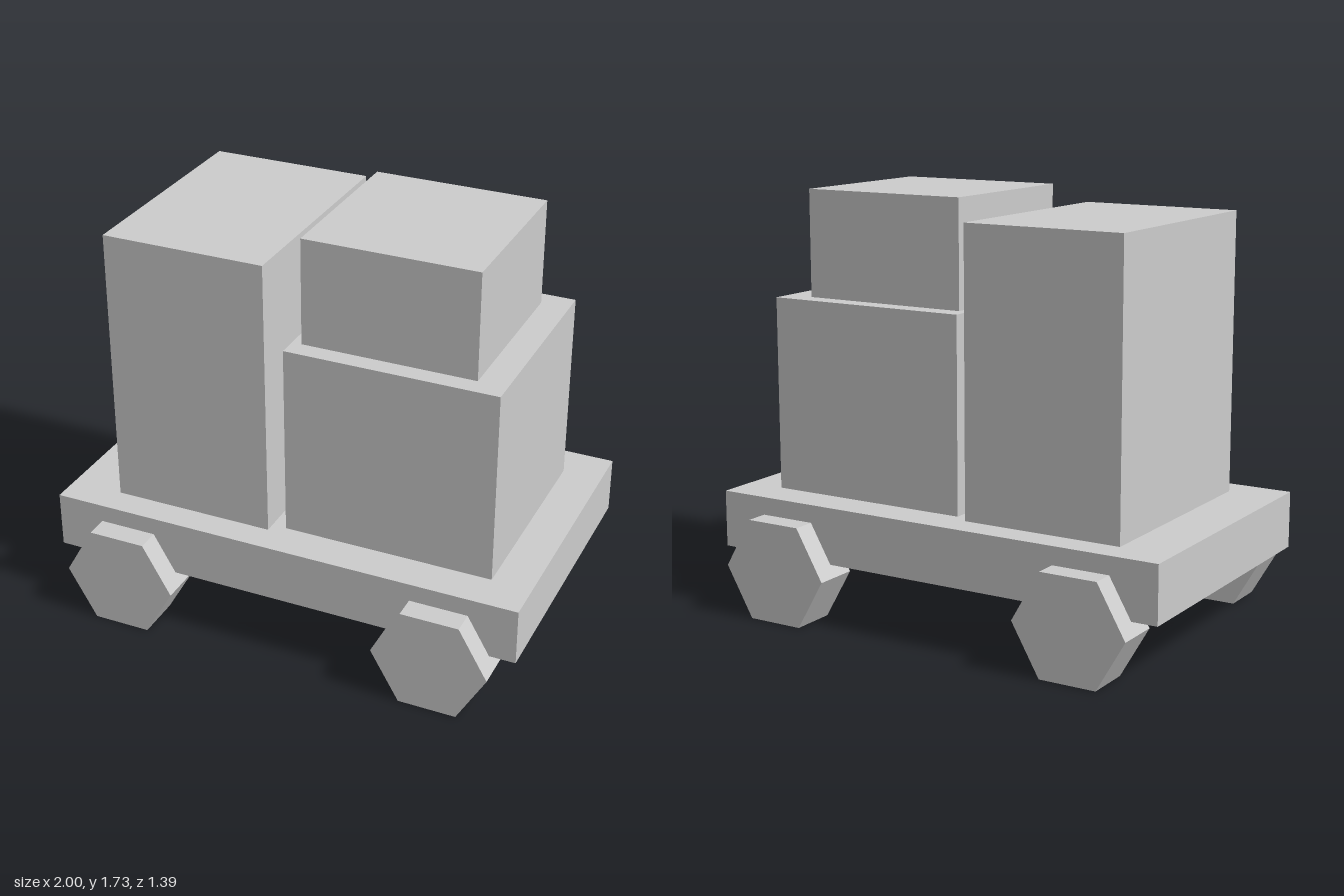
import * as THREE from 'three';

export function createModel() {
  const group = new THREE.Group();
  const grey = new THREE.MeshStandardMaterial({ color: 0xcccccc, flatShading: true });
  grey.name = 'light grey';

  // Box given by its x and y ranges and its depth, centred on z = 0
  function addBox(name, x0, x1, y0, y1, depth) {
    const mesh = new THREE.Mesh(new THREE.BoxGeometry(x1 - x0, y1 - y0, depth), grey);
    mesh.position.set((x0 + x1) / 2, (y0 + y1) / 2, 0);
    mesh.name = name;
    group.add(mesh);
  }

  addBox('platform', -1, 1, 0.255, 0.49, 1.2);
  addBox('tallCrate', -0.78, -0.1, 0.49, 1.65, 0.96);
  addBox('lowerCrate', -0.04, 0.835, 0.49, 1.29, 0.88);
  addBox('upperCrate', 0, 0.717, 1.29, 1.73, 0.72);

  // Hexagonal wheels standing on a flat side, sunk partly into the platform
  const wheelGeometry = new THREE.CylinderGeometry(0.24, 0.24, 0.19, 6, 1, false, Math.PI / 6);
  wheelGeometry.rotateX(Math.PI / 2);
  for (const [sideName, x] of [['Left', 0.68], ['Right', -0.68]]) {
    for (const [endName, z] of [['front', 0.6], ['back', -0.6]]) {
      const wheel = new THREE.Mesh(wheelGeometry, grey);
      wheel.position.set(x, 0.208, z);
      wheel.name = `${endName}${sideName}Wheel`;
      group.add(wheel);
    }
  }
  return group;
}
